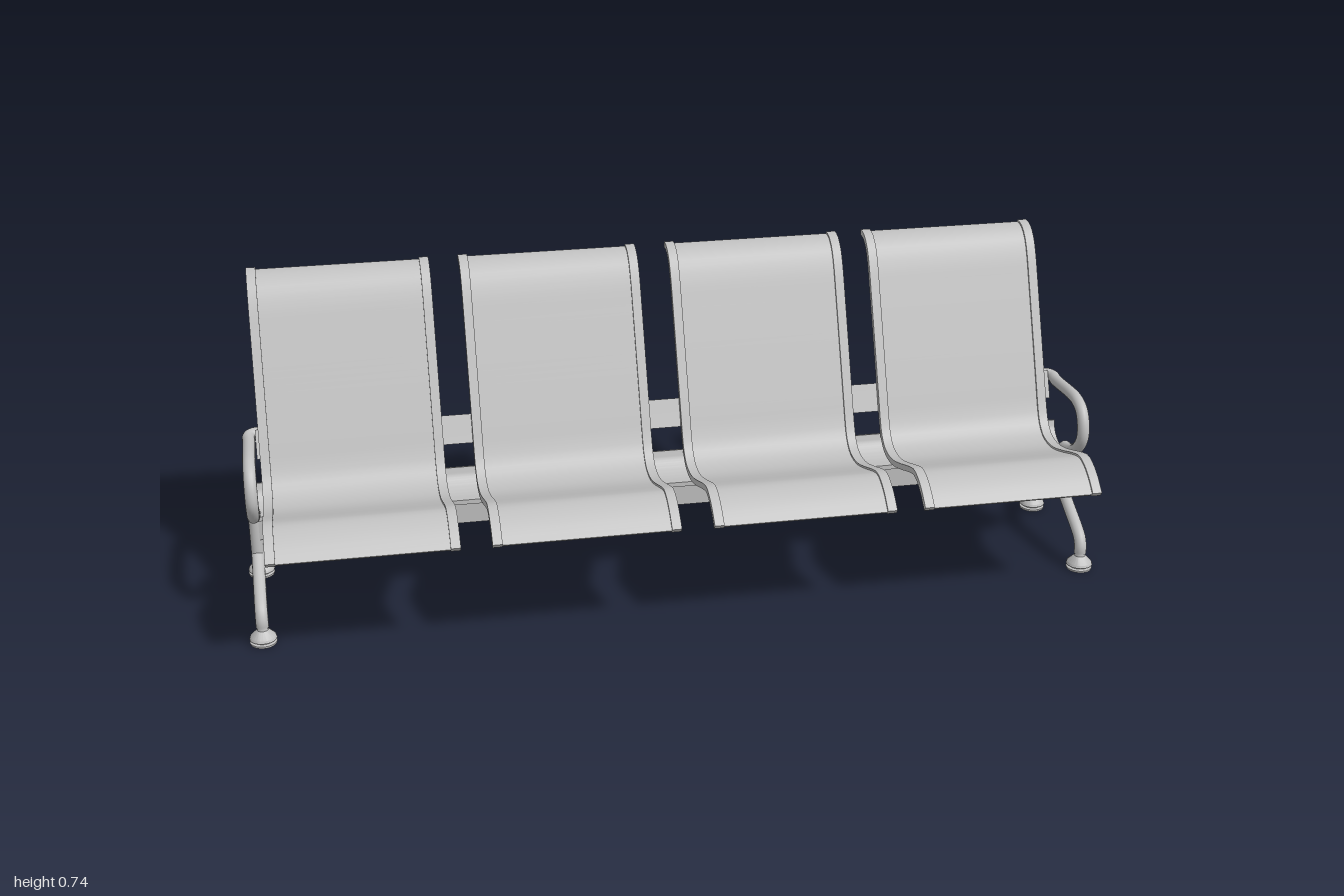
import * as THREE from 'three';
import { toCreasedNormals } from 'three/addons/utils/BufferGeometryUtils.js';

const steel = new THREE.MeshStandardMaterial({ color: 0xc0c0c0 });
steel.name = 'brushed steel';

function add(parent, name, geometry) {
  const mesh = new THREE.Mesh(geometry, steel);
  mesh.name = name;
  parent.add(mesh);
  return mesh;
}

// Sweep a bent strip, given as [z, y] points, along x from x0 to x1
function strip(points, thickness, x0, x1, samples) {
  const curve = new THREE.CatmullRomCurve3(points.map(([z, y]) => new THREE.Vector3(-z, y, 0)), false, 'centripetal');
  const front = [], back = [];
  for (let i = 0; i <= samples; i++) {
    const p = curve.getPointAt(i / samples), t = curve.getTangentAt(i / samples);
    const nx = -t.y * thickness / 2, ny = t.x * thickness / 2;
    front.push(new THREE.Vector2(p.x + nx, p.y + ny));
    back.unshift(new THREE.Vector2(p.x - nx, p.y - ny));
  }
  const geometry = new THREE.ExtrudeGeometry(new THREE.Shape([...front, ...back]), { depth: x1 - x0, bevelEnabled: false });
  geometry.rotateY(Math.PI / 2).translate(x0, 0, 0);
  return toCreasedNormals(geometry, 0.6);
}

// Round tube through [x, z, y] points
function tube(points, radius, samples) {
  const curve = new THREE.CatmullRomCurve3(points.map(([x, z, y]) => new THREE.Vector3(x, y, z)), false, 'centripetal');
  return new THREE.TubeGeometry(curve, samples, radius, 16);
}

const seatProfile = [
  [0.303, 0.277], [0.272, 0.303], [0.24, 0.32], [0.21, 0.326], [0.18, 0.319], [0.1, 0.291], [0.05, 0.276],
  [0.01, 0.271], [-0.03, 0.277], [-0.06, 0.3], [-0.08, 0.335], [-0.1, 0.382], [-0.2, 0.613],
  [-0.228, 0.675], [-0.248, 0.707], [-0.27, 0.725], [-0.288, 0.731], [-0.306, 0.731],
];

function createSeat(x0) {
  const seat = new THREE.Group();
  seat.name = 'seat';
  const width = 0.42, rim = 0.022;
  add(seat, 'seatPanel', strip(seatProfile, 0.005, x0 + rim, x0 + width - rim, 56));
  add(seat, 'sideRimRight', strip(seatProfile, 0.014, x0, x0 + rim, 56));
  add(seat, 'sideRimLeft', strip(seatProfile, 0.014, x0 + width - rim, x0 + width, 56));
  return seat;
}

function createEndFrame(side) {
  const frame = new THREE.Group();
  frame.name = side > 0 ? 'leftEndFrame' : 'rightEndFrame';
  const x = side * 0.97;

  // Upright with rounded top joint
  add(frame, 'post', new THREE.CylinderGeometry(0.0145, 0.0145, 0.105, 16)).position.set(x, 0.2, -0.011);
  for (const y of [0.148, 0.252]) add(frame, 'joint', new THREE.SphereGeometry(0.0148, 16, 10)).position.set(x, y, -0.011);

  // Looped armrest whose tail turns in to the back rail
  const arm = [
    [x, -0.011, 0.254], [x, 0.02, 0.26], [x, 0.05, 0.272], [x, 0.078, 0.295], [x, 0.095, 0.325], [x, 0.092, 0.358],
    [x, 0.074, 0.386], [x, 0.045, 0.398], [x, 0.01, 0.4], [x, -0.1, 0.391], [x, -0.127, 0.392],
    [x - side * 0.008, -0.137, 0.393], [x - side * 0.03, -0.14, 0.394],
  ];
  add(frame, 'armrest', tube(arm, 0.0145, 64));
  add(frame, 'armrestEnd', new THREE.SphereGeometry(0.0145, 16, 10)).position.set(x - side * 0.03, 0.394, -0.14);

  // Splayed legs
  add(frame, 'frontLeg', tube([[x, -0.011, 0.148], [x, 0.05, 0.118], [x, 0.112, 0.088], [x, 0.131, 0.074], [x, 0.14, 0.055], [x, 0.14, 0.04]], 0.0145, 32));
  add(frame, 'backLeg', tube([[x, -0.011, 0.148], [x, -0.09, 0.12], [x, -0.168, 0.092], [x, -0.188, 0.08], [x, -0.196, 0.06], [x, -0.196, 0.04]], 0.0145, 32));

  // Levelling feet with a groove above the base disc
  const foot = [[0, 0], [0.03, 0], [0.031, 0.005], [0.024, 0.007], [0.024, 0.01], [0.031, 0.012], [0.029, 0.018], [0.013, 0.034], [0.011, 0.05], [0, 0.05]];
  const footGeometry = toCreasedNormals(new THREE.LatheGeometry(foot.map(([r, y]) => new THREE.Vector2(r, y)), 24).toNonIndexed(), 0.5);
  for (const z of [0.14, -0.197]) add(frame, 'foot', footGeometry).position.set(x, 0, z);
  return frame;
}

export function createModel() {
  const bench = new THREE.Group();
  bench.name = 'waitingBench';

  for (const x0 of [-0.948, -0.459, 0.035, 0.52]) bench.add(createSeat(x0));
  for (const side of [-1, 1]) bench.add(createEndFrame(side));

  // Main beam and the curved tray resting on it
  add(bench, 'beam', new THREE.BoxGeometry(1.93, 0.058, 0.024)).position.set(0, 0.218, -0.011);
  const tray = [[0.012, 0.247], [-0.025, 0.246], [-0.045, 0.25], [-0.063, 0.26], [-0.076, 0.275], [-0.082, 0.294]];
  add(bench, 'beamTray', strip(tray, 0.011, -0.965, 0.965, 18));

  // Sloping rail behind the backrests
  add(bench, 'backRail', strip([[-0.102, 0.344], [-0.13, 0.406]], 0.018, -0.955, 0.955, 1));
  return bench;
}
